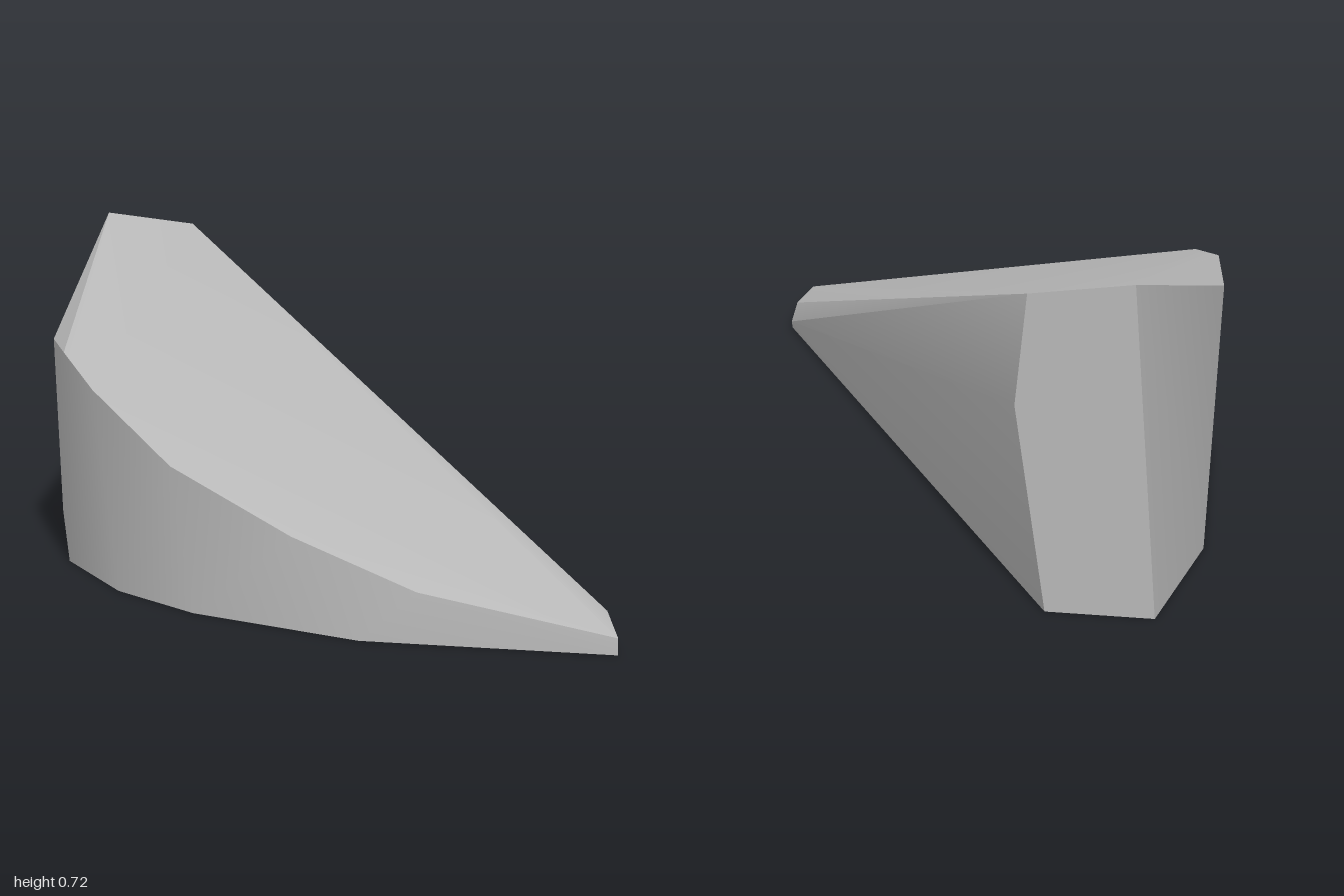
import * as THREE from 'three';
import { ConvexGeometry } from 'three/addons/geometries/ConvexGeometry.js';
import { toCreasedNormals } from 'three/addons/utils/BufferGeometryUtils.js';

// Sloping faceted wedge: flat base, curved outer wall, straight inner wall.
export function createModel() {
  const group = new THREE.Group();
  group.name = 'wedge';
  const stone = new THREE.MeshStandardMaterial({ color: 0xb8b8b8 });
  stone.name = 'grey stone';

  // Base outline on the ground (x, z)
  const base = [
    [-0.32, -1], [-0.55, -1], [-0.61, -0.6], [-0.565, 0.02], [-0.44, 0.35],
    [-0.27, 0.58], [0.08, 0.85], [0.61, 0.995], [0.61, 0.74],
  ].map(([x, z]) => [x, 0, z]);

  // Upper rim along the curved wall, from the high back to the low tip
  const rim = [
    [-0.5, 0.72, -1], [-0.61, 0.49, -0.25], [-0.575, 0.49, -0.02], [-0.5, 0.435, 0.2],
    [-0.32, 0.31, 0.49], [-0.06, 0.2, 0.73], [0.2, 0.11, 0.88], [0.61, 0.035, 0.99],
  ];

  // Upper edge and shallow crease of the straight wall
  const innerWall = [
    [-0.28, 0.69, -1], [0.61, 0.05, 0.8],
    [-0.255, 0.45, -1], [0.61, 0.02, 0.73],
  ];

  const points = [...base, ...rim, ...innerWall].map((p) => new THREE.Vector3(...p));
  const body = new THREE.Mesh(toCreasedNormals(new ConvexGeometry(points), 0.5), stone);
  body.name = 'wedgeBody';
  group.add(body);
  return group;
}
